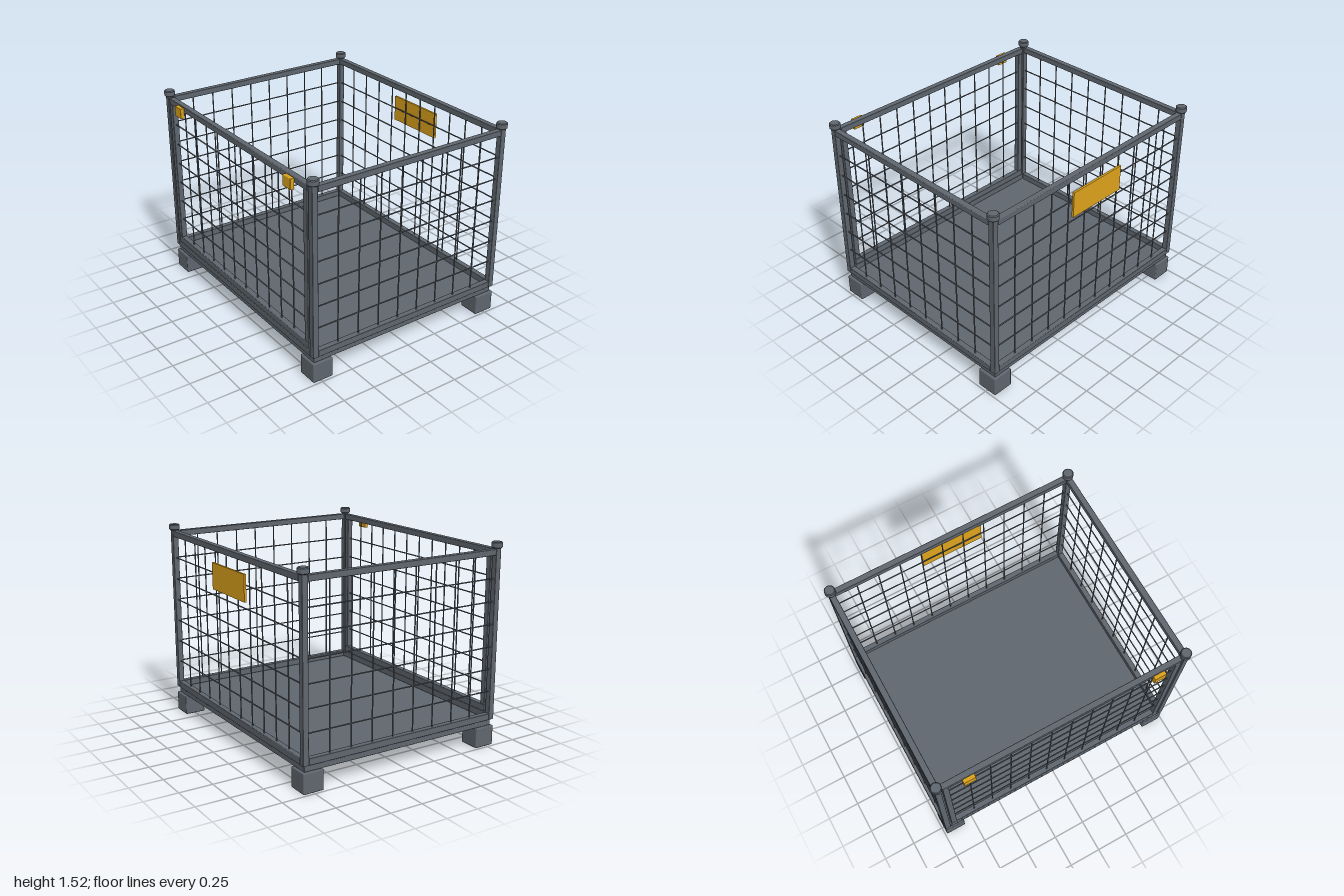
import * as THREE from 'three';
import { RoundedBoxGeometry } from 'three/addons/geometries/RoundedBoxGeometry.js';

const steel = new THREE.MeshStandardMaterial({ color: 0x5f666e });
const yellow = new THREE.MeshStandardMaterial({ color: 0xdda31c });

const T = 0.045;                       // tube width
const PX = 0.961, ZF = 0.79, ZB = -0.807; // post centres
const ZC = (ZF + ZB) / 2;
const TOP = 1.475;

function add(parent, name, geometry, x, y, z, material = steel) {
  const mesh = new THREE.Mesh(geometry, material);
  mesh.name = name;
  mesh.position.set(x, y, z);
  parent.add(mesh);
  return mesh;
}

function bar(parent, name, w, h, d, x, y, z, material = steel, r = 0.005) {
  return add(parent, name, new RoundedBoxGeometry(w, h, d, 2, r), x, y, z, material);
}

// Wire grid filling an opening of the given width between two heights
function wireMesh(parent, width, y0, y1, columns, rows) {
  const r = 0.005;
  const upright = new THREE.CylinderGeometry(r, r, y1 - y0, 8);
  const level = new THREE.CylinderGeometry(r, r, width, 8).rotateZ(Math.PI / 2);
  for (let i = 1; i <= columns; i++)
    add(parent, 'verticalWire', upright, width * (i / (columns + 1) - 0.5), (y0 + y1) / 2, 0);
  for (let j = 1; j <= rows; j++)
    add(parent, 'horizontalWire', level, 0, y0 + (y1 - y0) * j / (rows + 1), 0);
}

// Fixed wall: top and bottom rails with wire between
function wall(name, width, columns) {
  const g = new THREE.Group();
  g.name = name;
  bar(g, 'bottomRail', width, 0.05, T, 0, 0.225, 0);
  bar(g, 'topRail', width, T, T, 0, TOP - T / 2, 0);
  wireMesh(g, width, 0.25, TOP - T, columns, 6);
  return g;
}

export function createModel() {
  const model = new THREE.Group();
  model.name = 'meshCage';

  // Floor slab
  bar(model, 'floor', 1.932, 0.048, ZF - ZB + 0.012, 0, 0.176, ZC);

  // Feet, corner posts and round caps
  const capProfile = [[0, 0], [0.034, 0], [0.04, 0.006], [0.04, 0.039], [0.034, 0.045], [0, 0.045]]
    .map(([x, y]) => new THREE.Vector2(x, y));
  const cap = new THREE.LatheGeometry(capProfile, 24).toNonIndexed();
  cap.computeVertexNormals();
  for (const sx of [-1, 1]) {
    for (const [z, inward] of [[ZF, -1], [ZB, 1]]) {
      bar(model, 'foot', 0.16, 0.152, 0.16, sx * 0.904, 0.076, z + inward * 0.058, steel, 0.008);
      bar(model, 'cornerPost', T, 1.285, T, sx * PX, 0.8425, z);
      add(model, 'postCap', cap, sx * PX, 1.48, z);
    }
  }

  // Back and side walls
  const back = wall('backWall', 2 * PX - T, 10);
  back.position.z = ZB;
  model.add(back);
  for (const sx of [-1, 1]) {
    const side = wall(sx > 0 ? 'leftWall' : 'rightWall', ZF - ZB - T, 8);
    side.rotation.y = sx * Math.PI / 2;
    side.position.set(sx * PX, 0, ZC);
    model.add(side);
  }

  // Front sill and framed gate above it
  bar(model, 'frontSill', 2 * PX - T, 0.05, T, 0, 0.225, ZF);
  const gate = new THREE.Group();
  gate.name = 'frontGate';
  gate.position.z = ZF;
  const half = 0.926;
  bar(gate, 'gateBottomRail', 2 * half, 0.05, T, 0, 0.275, 0);
  bar(gate, 'gateTopRail', 2 * half, T, T, 0, TOP - T / 2, 0);
  for (const sx of [-1, 1]) {
    bar(gate, 'gateStile', T, TOP - T - 0.3, T, sx * (half - T / 2), (TOP - T + 0.3) / 2, 0);
    bar(gate, 'latch', 0.092, 0.08, 0.032, sx * 0.738, 1.425, 0.036, yellow);
  }
  wireMesh(gate, 2 * (half - T), 0.3, TOP - T, 10, 6);
  model.add(gate);

  // Blank plate on the back
  add(model, 'backPlate', new THREE.BoxGeometry(0.486, 0.198, 0.016), 0, 1.25, -0.834, yellow);

  return model;
}
